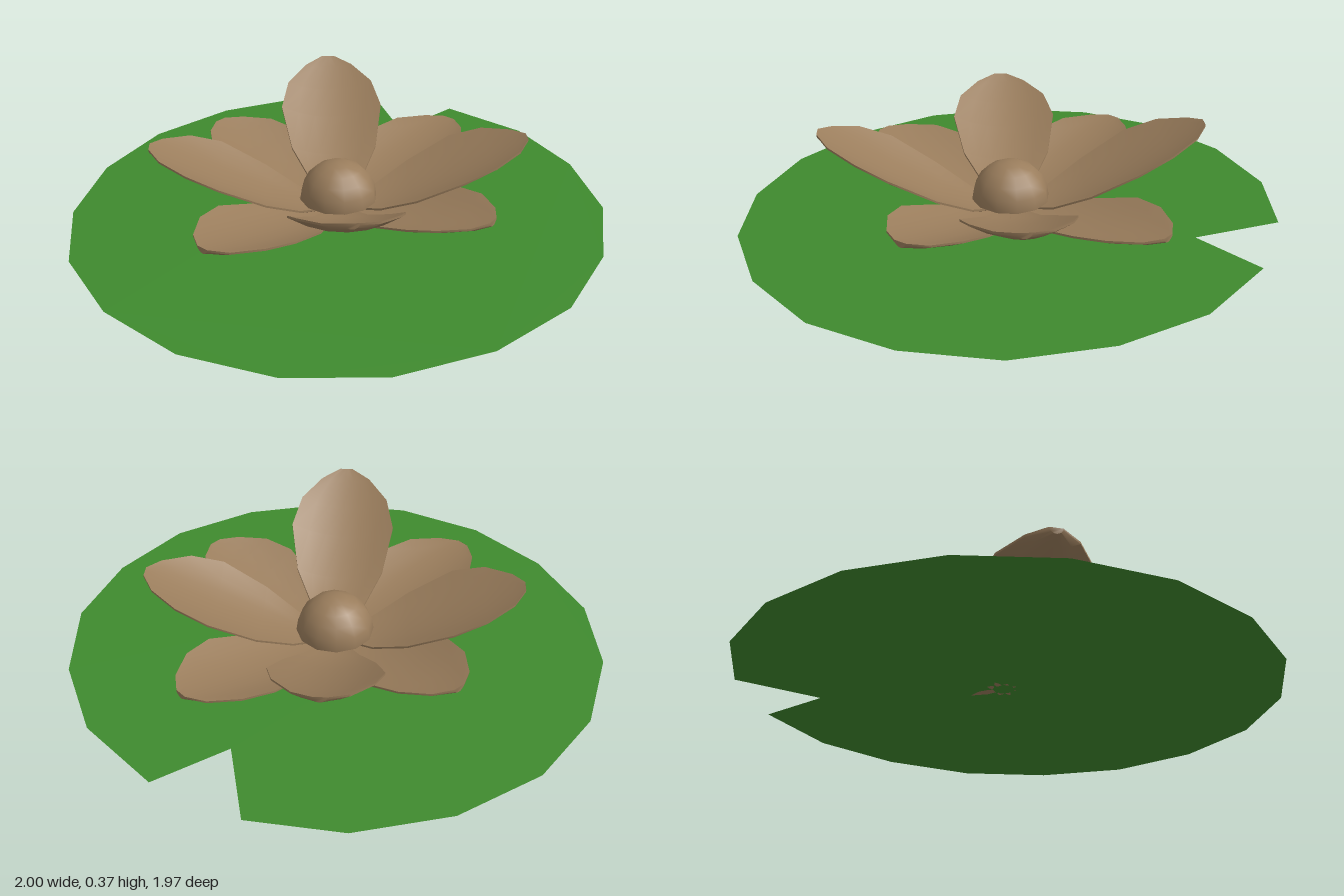
import * as THREE from 'three';
import { toCreasedNormals } from 'three/addons/utils/BufferGeometryUtils.js';

const green = new THREE.MeshStandardMaterial({ color: 0x3f8a2e, side: THREE.DoubleSide });
const tan = new THREE.MeshStandardMaterial({ color: 0x9a7d5c });

// Petal cross-sections: distance from the centre, half width, share of the tip height
const upperRise = [[0.04, 0.03, 0], [0.15, 0.1, 0.06], [0.28, 0.165, 0.22], [0.45, 0.2, 0.49],
  [0.57, 0.17, 0.71], [0.67, 0.095, 0.9], [0.713, 0.025, 1]];
const SIDE = 6; // strips across a petal

// Cupped petal growing along +x, closed by a bulging underside
function petalGeometry(length, tipY, widthScale) {
  const ringSize = 2 * (SIDE + 1);
  const k = length / 0.713, baseY = 0.055;
  const pos = [], index = [];
  for (const [r, w, rise] of upperRise) {
    const y = baseY + (tipY - baseY) * rise;
    const point = (s, drop) => {
      const z = s * w * widthScale;
      pos.push(r * k, y + 1.25 * z * z - drop, z);
    };
    for (let j = 0; j <= SIDE; j++) point(-1 + (2 * j) / SIDE, 0);
    for (let j = SIDE; j >= 0; j--) {
      const s = -1 + (2 * j) / SIDE;
      point(s, 0.008 + 0.014 * (1 - s * s));
    }
  }
  const rows = upperRise.length;
  for (let i = 0; i < rows - 1; i++) {
    for (let j = 0; j < ringSize; j++) {
      const a = i * ringSize + j, b = i * ringSize + ((j + 1) % ringSize);
      index.push(a, b, b + ringSize, a, b + ringSize, a + ringSize);
    }
  }
  // Tip cap
  const tip = (rows - 1) * ringSize;
  for (let j = 1; j < ringSize - 1; j++) index.push(tip, tip + j, tip + j + 1);
  const g = new THREE.BufferGeometry();
  g.setAttribute('position', new THREE.Float32BufferAttribute(pos, 3));
  g.setIndex(index);
  return toCreasedNormals(g, 0.8);
}

export function createModel() {
  const model = new THREE.Group();
  model.name = 'waterLily';

  // Flat, slightly tilted leaf with a notch
  const outline = [[0.63, -0.345], [0.93, -0.35], [1, 0], [0.935, 0.335], [0.765, 0.64], [0.5, 0.855],
    [0.18, 0.98], [-0.17, 0.98], [-0.5, 0.865], [-0.765, 0.645], [-0.94, 0.345], [-1, 0],
    [-0.945, -0.345], [-0.77, -0.64], [-0.5, -0.865], [-0.18, -0.985], [0.17, -0.985],
    [0.5, -0.87], [0.755, -0.65]];
  const padGeo = new THREE.ShapeGeometry(new THREE.Shape(outline.map(([x, z]) => new THREE.Vector2(x, -z))));
  padGeo.rotateX(-Math.PI / 2);
  const p = padGeo.attributes.position;
  for (let i = 0; i < p.count; i++) p.setY(i, 0.035 + 0.028 * p.getX(i) - 0.015 * p.getZ(i));
  padGeo.computeVertexNormals();
  const pad = new THREE.Mesh(padGeo, green);
  pad.name = 'lilyPad';
  model.add(pad);

  const flower = new THREE.Group();
  flower.name = 'flower';
  flower.position.set(0.008, 0, -0.008);
  model.add(flower);

  // Petals: angle in degrees, length, tip height, width scale
  const petals = {
    upperPetal: [[54, 0.713, 0.37, 1], [144, 0.69, 0.315, 1], [234, 0.7, 0.37, 1], [324, 0.7, 0.315, 1]],
    lowerPetal: [[9.5, 0.7, 0.17, 0.95], [99, 0.635, 0.21, 0.95], [189, 0.685, 0.17, 0.95], [286, 0.645, 0.19, 0.95]],
  };
  for (const [name, list] of Object.entries(petals)) {
    list.forEach(([deg, length, tipY, width], i) => {
      const petal = new THREE.Mesh(petalGeometry(length, tipY, width), tan);
      petal.name = name + (i + 1);
      petal.rotation.y = THREE.MathUtils.degToRad(deg);
      flower.add(petal);
    });
  }

  // Domed heart of the flower
  const heart = new THREE.Mesh(new THREE.SphereGeometry(0.145, 12, 5, 0, Math.PI * 2, 0, Math.PI / 2), tan);
  heart.name = 'flowerCentre';
  heart.position.y = 0.087;
  flower.add(heart);

  return model;
}
